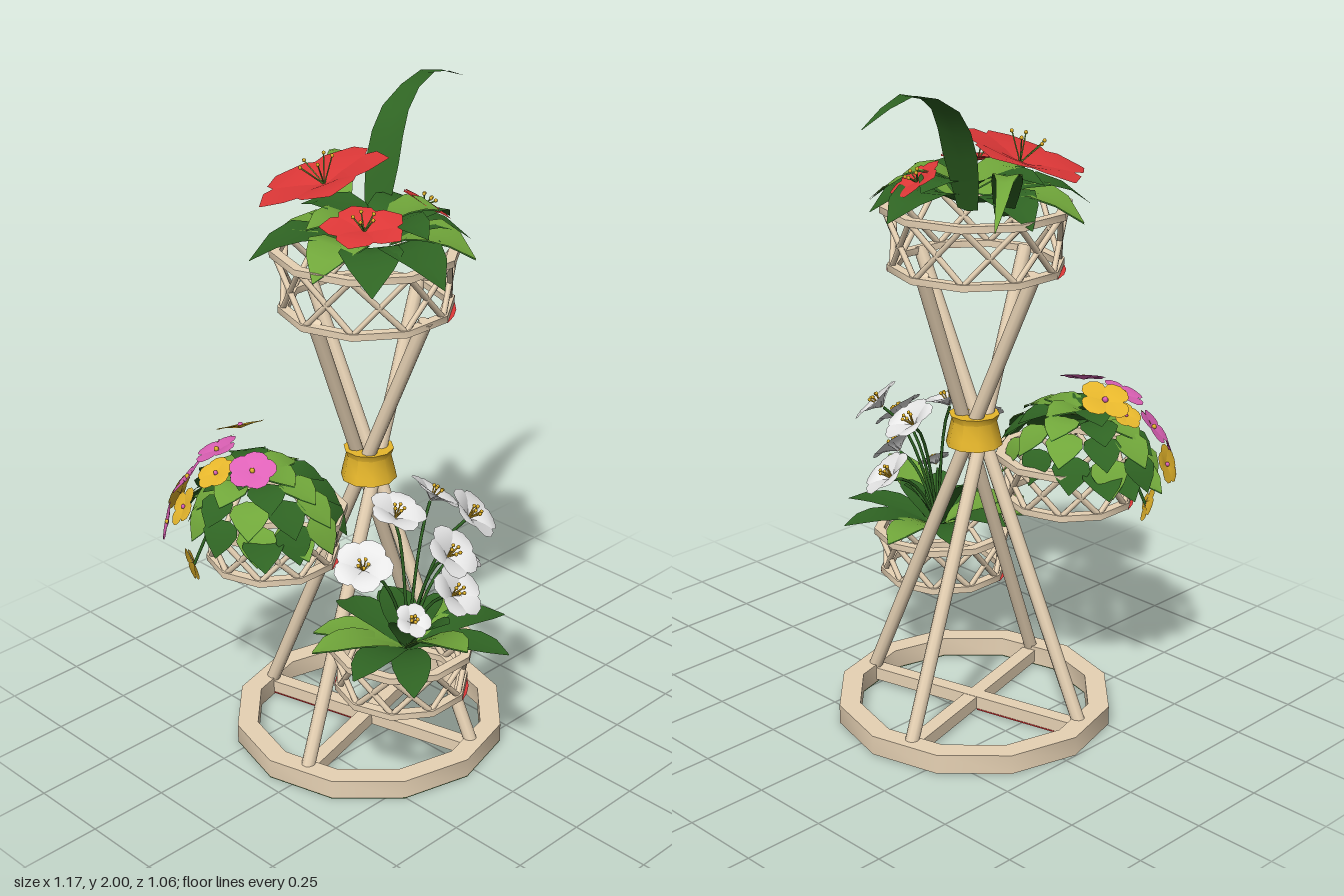
import * as THREE from 'three';
import { toCreasedNormals } from 'three/addons/utils/BufferGeometryUtils.js';

const mat = (name, color, side = THREE.DoubleSide) => {
  const m = new THREE.MeshStandardMaterial({ color, side });
  m.name = name;
  return m;
};
const wood = mat('pale wood', 0xe8d3b5, THREE.FrontSide);
const gold = mat('golden yellow', 0xe8b82c);
const dark = mat('dark green', 0x2f6423);
const light = mat('light green', 0x70a63a);
const red = mat('red', 0xe03838);
const pink = mat('pink', 0xdf62b8);
const white = mat('white', 0xffffff);

const V = (x, y, z) => new THREE.Vector3(x, y, z);
const UP = V(0, 1, 0);

function add(group, name, geometry, material) {
  const mesh = new THREE.Mesh(geometry, material);
  mesh.name = name;
  group.add(mesh);
  return mesh;
}

function named(parent, name) {
  const g = new THREE.Group();
  g.name = name;
  parent.add(g);
  return g;
}

// round rod between two points
function rod(group, name, a, b, r, material, sides = 8) {
  const d = b.clone().sub(a);
  const m = add(group, name, new THREE.CylinderGeometry(r, r, d.length(), sides), material);
  m.position.copy(a).addScaledVector(d, 0.5);
  m.quaternion.setFromUnitVectors(UP, d.normalize());
}

// turned profile with sharp rims and softly shaded sides
function turned(group, name, c, profile, sides, turn, material) {
  const lathe = new THREE.LatheGeometry(profile.map(q => new THREE.Vector2(...q)), sides, turn);
  add(group, name, toCreasedNormals(lathe, 0.7), material).position.copy(c);
}

// ring with a rectangular section
function ring(group, name, c, ri, ro, y0, y1, sides, turn = 0) {
  turned(group, name, c, [[ri, y0], [ro, y0], [ro, y1], [ri, y1], [ri, y0]], sides, turn, wood);
}

// painted patch under a ring, from one corner over a number of its sides
function underside(group, c, ri, ro, sides, first, count, material) {
  const step = (Math.PI * 2) / sides;
  const g = new THREE.RingGeometry(ri, ro, count, 1, first * step, count * step).rotateX(Math.PI / 2);
  add(group, 'undersidePatch', g, material).position.set(c.x, c.y - 0.002, c.z);
}

// thin folded strip swept along a path: leaves, blades and petals
function strip(group, name, curve, width, profile, normal, fold, material, drop = 0) {
  const n = profile.length - 1, pos = [], idx = [];
  const side = curve.getPoint(1).sub(curve.getPoint(0)).cross(normal).normalize();
  profile.forEach((w, i) => {
    const c = curve.getPoint(i / n).addScaledVector(normal, -drop), h = (w * width) / 2;
    for (const s of [-1, 0, 1]) {
      const q = c.clone().addScaledVector(side, s * h).addScaledVector(normal, s ? fold * h : 0);
      pos.push(q.x, q.y, q.z);
    }
    if (i < n) for (const s of [0, 1]) {
      const a = i * 3 + s;
      idx.push(a, a + 1, a + 4, a, a + 4, a + 3);
    }
  });
  const g = new THREE.BufferGeometry();
  g.setAttribute('position', new THREE.Float32BufferAttribute(pos, 3));
  g.setIndex(idx);
  g.computeVertexNormals();
  add(group, name, g, material);
}

const LEAF = [0.25, 0.85, 1, 0.68, 0.02];
const LANCE = [0.3, 0.6, 0.85, 1, 0.95, 0.7, 0.05];
const POINTED = [0.15, 0.56, 0.95, 0.8, 0.04];
const ROUND = [0.15, 0.5, 0.9, 1, 0.85, 0.35];

// light leaves have a dark underside
function foliage(group, name, curve, width, profile, fold, material) {
  strip(group, name, curve, width, profile, UP, fold, material);
  if (material === light) strip(group, name + 'Underside', curve, width, profile, UP, fold, dark, 0.004);
}

function leaf(group, a, b, width, arch, material, profile = LEAF) {
  const mid = a.clone().lerp(b, 0.5).addScaledVector(UP, arch);
  foliage(group, 'leaf', new THREE.QuadraticBezierCurve3(a, mid, b), width, profile, 0.1, material);
}

// open flower: petals round a normal, with a fan of stamens
function flower(parent, name, c, normal, r, o) {
  const g = named(parent, name), n = normal.clone().normalize();
  const q = new THREE.Quaternion().setFromUnitVectors(UP, n);
  for (let i = 0; i < o.petals; i++) {
    const a = (o.turn || 0) + (i / o.petals) * Math.PI * 2;
    const d = V(Math.sin(a), 0, -Math.cos(a)).applyQuaternion(q);
    const start = c.clone().addScaledVector(n, -o.cup * r + (i % 2) * 0.002);
    const end = c.clone().addScaledVector(d, r);
    const mid = c.clone().addScaledVector(d, r * 0.55).addScaledVector(n, o.cup * r * 0.4);
    strip(g, 'petal', new THREE.QuadraticBezierCurve3(start, mid, end), o.width * r, o.profile, n, 0.03, o.material);
    if (!o.stamen) continue;
    const tip = c.clone().addScaledVector(n, o.stamen * r).addScaledVector(d, r * o.spread);
    rod(g, 'stamen', start, tip, 0.0025, o.filament, 4);
    add(g, 'anther', new THREE.SphereGeometry(0.006, 5, 4), gold).position.copy(tip);
  }
  if (o.eye) add(g, 'flowerEye', new THREE.SphereGeometry(r * 0.12, 6, 4), o.eye).position.copy(c);
}

// ten-sided basket with crossed lattice sides
function basket(parent, name, c, rTop, rBottom, h) {
  const g = named(parent, name), turn = Math.PI / 10;
  ring(g, 'upperRim', c, rTop - 0.03, rTop, h - 0.02, h, 10, turn);
  ring(g, 'lowerRim', c, rBottom - 0.03, rBottom, 0, 0.02, 10, turn);
  for (const first of [1, 6]) underside(g, c, rBottom - 0.03, rBottom, 10, first, 1, red);
  const at = (i, r, y) => {
    const a = turn + (i * Math.PI) / 5;
    return V(c.x + Math.sin(a) * (r - 0.015), c.y + y, c.z + Math.cos(a) * (r - 0.015));
  };
  for (let i = 0; i < 10; i++) {
    rod(g, 'lattice', at(i, rBottom, 0.012), at(i + 1, rTop, h - 0.012), 0.009, wood, 6);
    rod(g, 'lattice', at(i + 1, rBottom, 0.012), at(i, rTop, h - 0.012), 0.009, wood, 6);
  }
}

function createStand(root) {
  const g = named(root, 'stand'), c = V(-0.04, 0.002, -0.075);
  ring(g, 'baseRing', c, 0.36, 0.425, 0, 0.06, 12);
  underside(g, c, 0.36, 0.425, 12, 1, 7, dark);
  for (const k of [0, 1]) {
    const bar = add(g, 'baseCrossbar', new THREE.BoxGeometry(0.74, 0.04, 0.045), wood);
    bar.position.set(c.x, 0.03 + k * 0.001, c.z);
    bar.rotation.y = 0.25 + (k * Math.PI) / 2;
  }
  const plate = add(g, 'crossbarUnderside', new THREE.BoxGeometry(0.33, 0.004, 0.045), red);
  plate.position.set(c.x - 0.047, 0.008, c.z - 0.184);
  plate.rotation.y = 0.25 + Math.PI / 2;
  // crossing poles: foot x, foot z, top x, top z
  [[0.32, -0.17, -0.26, -0.06], [-0.4, 0.02, 0.19, -0.09],
    [-0.135, -0.43, -0.03, 0.15], [0.055, 0.28, -0.045, -0.3]].forEach(([x, z, u, w]) =>
    rod(g, 'pole', V(x, 0.04, z), V(u, 1.44, w), 0.021, wood, 10));
  turned(g, 'waistBand', V(-0.035, 0, -0.075),
    [[0.03, 0.88], [0.085, 0.88], [0.08, 0.905], [0.068, 0.955], [0.076, 0.975], [0.03, 0.975]], 10, 0, gold);
}

// broad-leaved plant with red flowers and two long blades
function createTopPlant(root) {
  const g = named(root, 'redFlowerPlant');
  // lower leaves: tip x, y, z, colour
  [[-0.08, 1.58, 0.27, dark], [0.12, 1.6, 0.2, light], [0.31, 1.61, -0.08, dark], [0.23, 1.6, 0.08, dark],
    [-0.26, 1.58, 0.17, dark], [-0.31, 1.59, -0.01, light], [-0.32, 1.59, -0.26, dark], [-0.17, 1.58, -0.37, light],
    [0.03, 1.59, -0.36, dark]].forEach(([x, y, z, m]) =>
    leaf(g, V(-0.03, 1.63, -0.07).lerp(V(x, y, z), 0.2), V(x, y, z), 0.18, 0.11, m));
  // upper leaves
  [[0.14, 1.7, 0.04, light], [-0.22, 1.69, -0.13, light], [-0.02, 1.68, 0.15, dark], [0.2, 1.68, -0.1, dark],
    [-0.08, 1.69, -0.3, dark]].forEach(([x, y, z, m]) => leaf(g, V(0, 1.65, -0.08), V(x, y, z), 0.16, 0.08, m));
  const hib = { petals: 5, width: 0.95, cup: 0.12, profile: POINTED, material: red, stamen: 0.25, spread: 0.25, filament: light };
  flower(g, 'largeRedFlower', V(-0.045, 1.775, -0.25), V(-0.24, 1, -0.24), 0.205, hib);
  flower(g, 'middleRedFlower', V(-0.14, 1.715, 0.02), V(-0.12, 1, 0.12), 0.125, { ...hib, turn: 0.5 });
  flower(g, 'smallRedFlower', V(0.155, 1.7, -0.03), V(0.5, 0.85, 0.25), 0.085, hib);
  for (const [p, w, m] of [
    [[[0.08, 1.62, -0.16], [0.14, 1.78, -0.19], [0.22, 1.92, -0.215], [0.39, 1.993, -0.25], [0.58, 1.94, -0.285]], 0.11, dark],
    [[[0.04, 1.62, -0.26], [0.1, 1.73, -0.33], [0.16, 1.77, -0.385], [0.23, 1.74, -0.44], [0.3, 1.66, -0.48]], 0.085, light]]) {
    const curve = new THREE.CatmullRomCurve3(p.map(q => V(...q)));
    foliage(g, 'longBlade', curve, w, [0.6, 0.85, 1, 0.95, 0.8, 0.55, 0.42, 0.25, 0.03], 0.2, m);
  }
}

// domed plant with pink and yellow flowers
function createDomePlant(root) {
  const g = named(root, 'pinkAndYellowPlant'), c = V(-0.34, 0.77, -0.235);
  // the dome is flatter on the side where the flowers hang
  const dome = (el, a, reach) => {
    const r = reach * (1 - 0.2 * Math.max(0, Math.cos(a - Math.PI * 1.25)) ** 4);
    return V(c.x + Math.cos(a) * Math.cos(el) * r * 0.88, c.y + Math.sin(el) * r * 0.87, c.z + Math.sin(a) * Math.cos(el) * r * 1.08);
  };
  // leaf rings: start elevation, end elevation, reach, count
  [[0.5, 0.0, 0.27, 13], [0.85, 0.32, 0.265, 11], [1.15, 0.65, 0.26, 8], [1.5, 0.95, 0.25, 5]].forEach(([e0, e1, r, n], k) => {
    for (let i = 0; i < n; i++) {
      const a = ((i + k * 0.4) / n) * Math.PI * 2;
      leaf(g, dome(e0, a, r * 0.85), dome(e1, a, r), 0.115, 0.03, (i + k) % 2 ? light : dark);
    }
  });
  // leaves straggling past the rim
  [[-0.55, 0.79, 0.03], [-0.4, 0.78, 0.05], [-0.16, 0.78, -0.5], [-0.36, 0.76, -0.53], [-0.25, 0.76, -0.52]].forEach((t, i) =>
    leaf(g, V(...t).lerp(V(c.x, 0.87, c.z), 0.5), V(...t), 0.12, 0.03, i % 2 ? light : dark));
  const heart = V(-0.33, 0.72, -0.23);
  const bloom = (name, m, eye) => ([x, y, z, r], i) => flower(g, name, V(x, y, z), V(x, y, z).sub(heart), r,
    { petals: 4 + (i % 2), width: 1.02, cup: 0.1, profile: ROUND, material: m, eye, turn: i });
  [[-0.41, 1.01, -0.33, 0.07], [-0.43, 1.01, -0.15, 0.07], [-0.46, 0.91, -0.41, 0.065], [-0.545, 0.79, -0.41, 0.06]]
    .forEach(bloom('pinkFlower', pink, gold));
  [[-0.28, 1.03, -0.37, 0.08], [-0.475, 0.98, -0.26, 0.06], [-0.545, 0.87, -0.33, 0.06], [-0.43, 0.82, -0.49, 0.06],
    [-0.49, 0.64, -0.37, 0.055], [-0.33, 0.98, -0.41, 0.05]].forEach(bloom('yellowFlower', gold, pink));
  rod(g, 'trailingStem', V(-0.43, 0.79, -0.33), V(-0.485, 0.64, -0.365), 0.005, dark, 5);
}

// rosette of long leaves with white flowers on stems
function createWhitePlant(root) {
  const g = named(root, 'whiteFlowerPlant'), c = V(-0.18, 0.47, 0.23);
  [[-0.46, 0.53, 0.12, light], [-0.46, 0.51, 0.29, dark], [-0.39, 0.5, 0.46, dark], [-0.25, 0.62, 0.53, light],
    [-0.06, 0.52, 0.52, dark], [0.1, 0.52, 0.36, dark], [0.08, 0.51, 0.18, light], [-0.03, 0.52, 0, dark],
    [-0.22, 0.54, -0.03, dark], [-0.37, 0.52, 0.03, light]].forEach(([x, y, z, m]) =>
    leaf(g, c, V(x, y, z), 0.115, 0.08, m, LANCE));
  [[-0.27, 0.62, 0.3], [-0.08, 0.63, 0.28], [-0.18, 0.64, 0.13], [-0.15, 0.6, 0.37]].forEach(t =>
    leaf(g, c, V(...t), 0.1, 0.05, dark, LANCE));
  [[-0.36, 0.82, 0.23], [-0.19, 0.92, 0.2], [-0.03, 0.91, 0.35], [0.04, 0.72, 0.23], [-0.15, 0.72, 0.4],
    [-0.15, 0.84, 0.38], [-0.27, 0.65, 0.34], [0, 0.9, 0.17]].forEach(([x, y, z], i) => {
    const p = V(x, y, z), n = V((x - c.x) * 1.5 + 0.05, 0.5, (z - c.z) * 1.5 + 0.22).normalize();
    const back = p.clone().addScaledVector(n, -0.035);
    const bend = V(c.x + (x - c.x) * 0.35, 0.5 + (y - 0.5) * 0.8, c.z + (z - c.z) * 0.35);
    add(g, 'flowerStem', new THREE.TubeGeometry(new THREE.QuadraticBezierCurve3(c, bend, back), 8, 0.005, 5), dark);
    flower(g, 'whiteFlower', p, n, i === 6 ? 0.055 : 0.085, { petals: 5, width: 1, cup: 0.35, profile: ROUND,
      material: white, stamen: 0.15, spread: 0.18, filament: gold, turn: i });
  });
}

export function createModel() {
  const root = new THREE.Group();
  root.name = 'flowerStand';
  createStand(root);
  basket(root, 'topBasket', V(-0.035, 1.42, -0.08), 0.278, 0.258, 0.19);
  basket(root, 'middleBasket', V(-0.31, 0.665, -0.205), 0.225, 0.2, 0.155);
  basket(root, 'lowBasket', V(-0.18, 0.335, 0.205), 0.22, 0.2, 0.155);
  createTopPlant(root);
  createDomePlant(root);
  createWhitePlant(root);
  return root;
}
